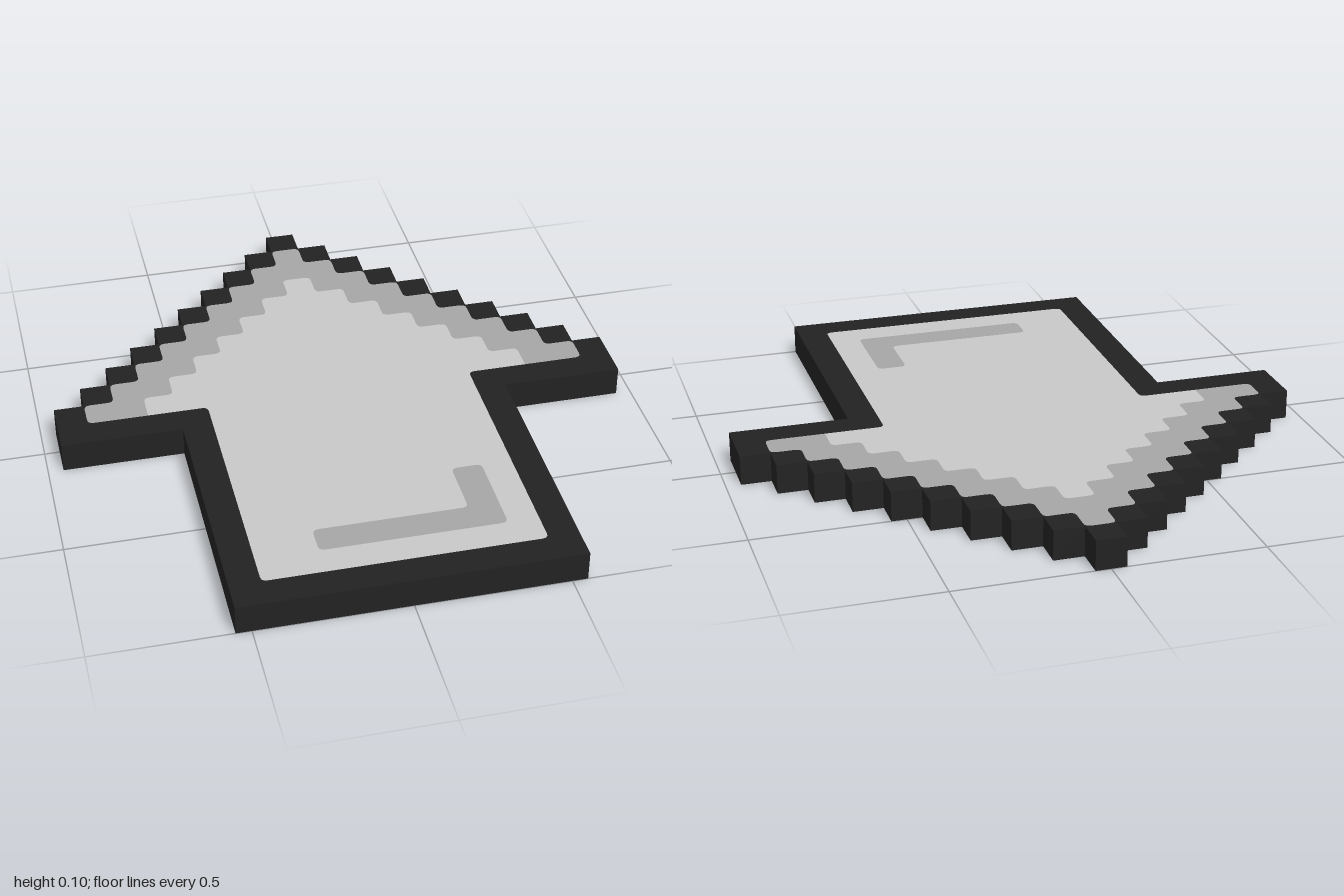
import * as THREE from 'three';
import { mergeGeometries } from 'three/addons/utils/BufferGeometryUtils.js';

const CELL = 0.1;      // one pixel step
const HEIGHT = 0.1;    // slab thickness
const ROUND = 0.02;    // softening of the painted corners

const flip = (pts) => pts.map(([x, z, sharp]) => [-x, z, sharp]);
const reversed = (pts) => [...pts].reverse();
const mirrored = (half) => [...half, ...reversed(flip(half))];

// Right half of the stepped arrow head, from row `first` down to z = 0
function stairs(first, sharpEnd = false) {
  const pts = [];
  for (let row = first; row < 10; row++) {
    const x = CELL * (row - first + 0.5);
    pts.push([x, -1 + CELL * row], [x, -1 + CELL * (row + 1)]);
  }
  const end = pts[pts.length - 1];
  end[1] = 0;
  end[2] = sharpEnd;
  return pts;
}

// Closed path through plan points [x, z, sharp] with softened corners
function trace(path, pts, radius, sign) {
  const n = pts.length;
  const toward = (a, b) => {
    const t = radius / Math.hypot(b[0] - a[0], b[1] - a[1]);
    return [a[0] + (b[0] - a[0]) * t, sign * (a[1] + (b[1] - a[1]) * t)];
  };
  pts.forEach((p, i) => {
    const go = (q) => (i === 0 ? path.moveTo(...q) : path.lineTo(...q));
    if (radius === 0 || p[2]) {
      go([p[0], sign * p[1]]);
    } else {
      go(toward(p, pts[(i + n - 1) % n]));
      path.quadraticCurveTo(p[0], sign * p[1], ...toward(p, pts[(i + 1) % n]));
    }
  });
  path.closePath();
  return path;
}

// The same flat region on the top and the underside
function faces(pts, radius, hole) {
  return mergeGeometries([1, -1].map((side) => {
    const shape = trace(new THREE.Shape(), pts, radius, -side);
    if (hole) shape.holes.push(trace(new THREE.Path(), hole, ROUND, -side));
    return new THREE.ShapeGeometry(shape, 3)
      .rotateX(-side * Math.PI / 2)
      .translate(0, side > 0 ? HEIGHT : 0, 0);
  }));
}

// Vertical walls around an outline
function walls(pts) {
  const pos = [];
  pts.forEach(([ax, az], i) => {
    const [bx, bz] = pts[(i + 1) % pts.length];
    pos.push(bx, 0, bz, ax, 0, az, ax, HEIGHT, az);
    pos.push(bx, 0, bz, ax, HEIGHT, az, bx, HEIGHT, bz);
  });
  const geo = new THREE.BufferGeometry();
  geo.setAttribute('position', new THREE.Float32BufferAttribute(pos, 3));
  geo.computeVertexNormals();
  return geo;
}

export function createModel() {
  const material = (name, color) => {
    const m = new THREE.MeshStandardMaterial({ color });
    m.name = name;
    return m;
  };
  const black = material('black', 0x222222);
  const midGrey = material('mid grey', 0xa6a6a6);
  const lightGrey = material('light grey', 0xc8c8c8);

  const model = new THREE.Group();
  model.name = 'pixelArrow';
  const add = (name, geometry, mat) => {
    const mesh = new THREE.Mesh(geometry, mat);
    mesh.name = name;
    model.add(mesh);
  };

  // Plan outlines
  const shaft = [[0.45, 0], [0.45, 0.9]];
  const outline = mirrored([...stairs(0).slice(0, -1), [0.95, 0.1], [0.55, 0.1], [0.55, 1]]);
  const inside = mirrored([...stairs(1), ...shaft]);
  const outerStep = stairs(1);
  const innerStep = stairs(3, true);
  const chevron = [
    ...reversed(flip(outerStep)), ...outerStep,
    ...reversed(innerStep), ...flip(innerStep),
  ];
  const centre = mirrored([...innerStep, ...shaft]);
  const corner = [
    [-0.25, 0.7], [0.25, 0.7], [0.25, 0.5], [0.35, 0.5], [0.35, 0.8], [-0.25, 0.8],
  ];

  // Dark border and rim
  add('border', faces(outline, 0, inside), black);
  add('rim', walls(outline), black);

  // Shaded band under the arrow head's edge
  add('headShade', faces(chevron, ROUND), midGrey);

  // Light centre with its L-shaped accent
  add('centre', faces(centre, ROUND, corner), lightGrey);
  add('cornerAccent', faces(corner, ROUND), midGrey);

  return model;
}
